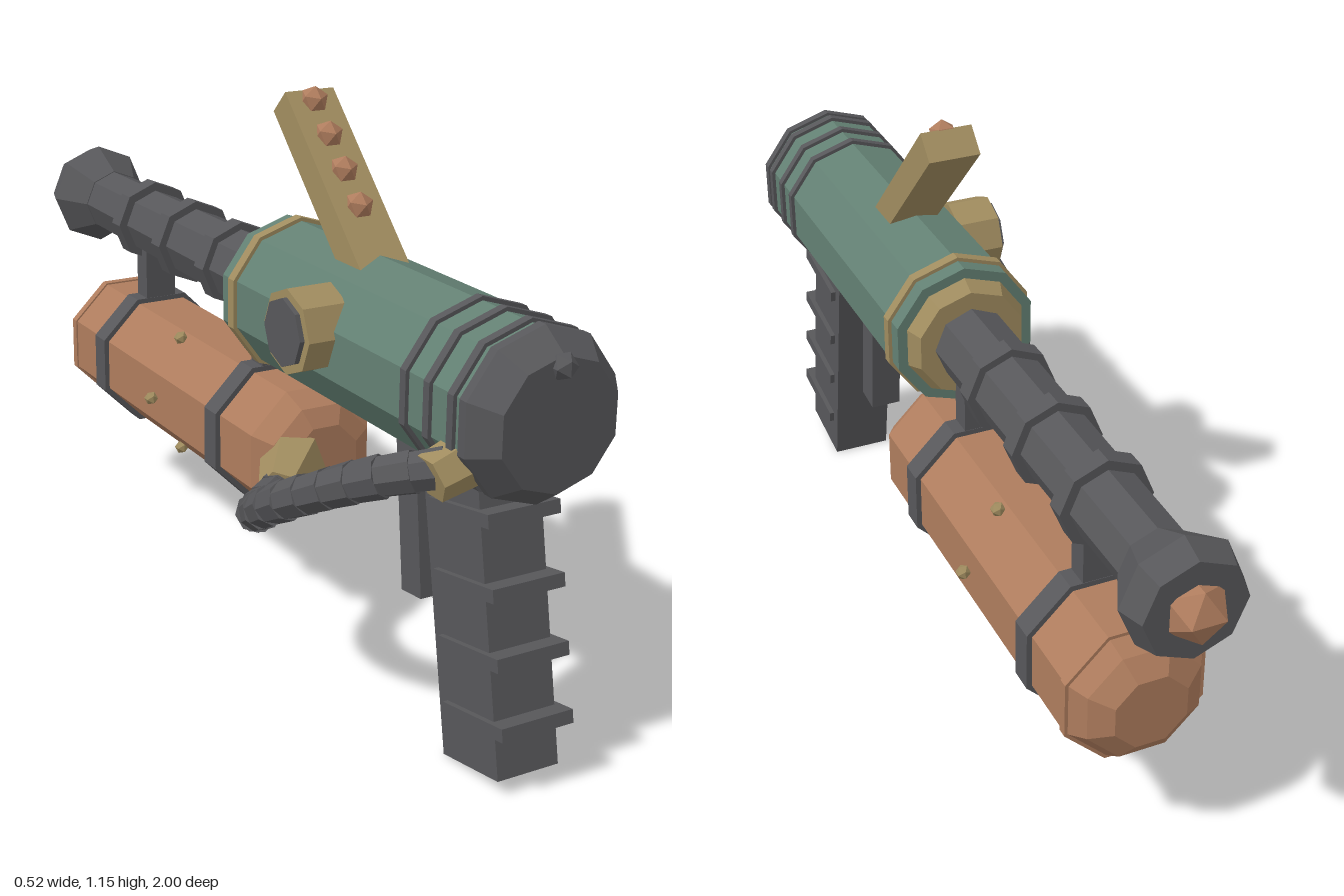
import * as THREE from 'three';

const paint = (name, color) => {
  const m = new THREE.MeshStandardMaterial({ color });
  m.name = name;
  return m;
};

export function createModel() {
  const dark = paint('gunmetal', 0x57575a);
  const green = paint('weathered green', 0x638073);
  const copper = paint('copper', 0xae7c5d);
  const brass = paint('brass', 0xa08c5f);

  const model = new THREE.Group();
  model.name = 'canisterGun';
  const CX = 0.09;     // shared x of the long axes
  const BODY_Y = 0.715;
  const TANK_Y = 0.385;

  // Faceted mesh: every triangle gets its own normal
  const add = (name, geo, mat, x, y, z, parent = model) => {
    const g = geo.index ? geo.toNonIndexed() : geo;
    g.computeVertexNormals();
    const mesh = new THREE.Mesh(g, mat);
    mesh.name = name;
    mesh.position.set(x, y, z);
    parent.add(mesh);
    return mesh;
  };

  // Solid turned around the z axis; profile is [z, radius] with z ascending
  const turned = (name, profile, sides, mat, y, start = 0) => {
    const pts = [[profile[0][0], 0], ...profile, [profile[profile.length - 1][0], 0]]
      .map(([z, r]) => new THREE.Vector2(r, z));
    return add(name, new THREE.LatheGeometry(pts, sides, start).rotateX(Math.PI / 2), mat, CX, y, 0);
  };

  const band = (name, z, width, r, sides, mat, y, start) =>
    turned(name, [[z - width / 2, r], [z + width / 2, r]], sides, mat, y, start);

  const stud = (name, r, mat, x, y, z, parent) =>
    add(name, new THREE.IcosahedronGeometry(r, 0), mat, x, y, z, parent);

  // Straight cylinder between two points
  const UP = new THREE.Vector3(0, 1, 0);
  const rod = (name, a, b, ra, rb, sides, mat, parent = model) => {
    const d = b.clone().sub(a);
    const mid = a.clone().add(b).multiplyScalar(0.5);
    const mesh = add(name, new THREE.CylinderGeometry(rb, ra, d.length(), sides), mat, mid.x, mid.y, mid.z, parent);
    mesh.quaternion.setFromUnitVectors(UP, d.normalize());
    return mesh;
  };
  const V = (x, y, z) => new THREE.Vector3(x, y, z);

  // Receiver body, end cap and bands
  turned('body', [[0.05, 0.157], [0.92, 0.157]], 10, green, BODY_Y);
  turned('rearCap', [[0.905, 0.164], [0.925, 0.164], [0.98, 0.125]], 10, dark, BODY_Y);
  stud('rearKnob', 0.027, dark, CX, 0.82, 0.977);
  for (const z of [0.735, 0.808, 0.88]) band('bodyBand', z, 0.018, 0.165, 10, dark, BODY_Y);
  band('frontBand', 0.098, 0.024, 0.165, 10, brass, BODY_Y);
  turned('frontCollar', [[0.015, 0.118], [0.05, 0.135]], 10, brass, BODY_Y);

  // Barrel, rings, muzzle and tip
  turned('barrel', [[-0.83, 0.073], [0.03, 0.081]], 8, dark, BODY_Y);
  for (const z of [-0.17, -0.385, -0.597]) band('barrelRing', z, 0.042, 0.095, 8, dark, BODY_Y);
  turned('muzzle', [[-0.955, 0.102], [-0.9, 0.12], [-0.81, 0.075]], 8, dark, BODY_Y);
  stud('muzzleTip', 0.064, copper, CX, BODY_Y, -0.946).rotation.z = Math.PI / 2;

  // Tank with domed ends, straps, struts and rivets
  const FLAT = Math.PI / 8;
  turned('tank', [[-0.82, 0.08], [-0.79, 0.125], [-0.75, 0.152], [0.155, 0.152], [0.2, 0.122], [0.22, 0.08]],
    8, copper, TANK_Y, FLAT);
  band('tankLip', -0.745, 0.02, 0.156, 8, copper, TANK_Y, FLAT);
  for (const z of [-0.008, -0.577]) {
    band('tankStrap', z, 0.052, 0.164, 8, dark, TANK_Y, FLAT);
    add('strut', new THREE.BoxGeometry(0.075, 0.18, 0.05), dark, CX, 0.595, z);
  }
  for (let i = 0; i < 6; i++) {
    const a = i * Math.PI / 3;
    stud('tankRivet', 0.016, brass, CX + 0.153 * Math.cos(a), TANK_Y + 0.153 * Math.sin(a), -0.295);
  }

  // Grip with ribs, built upright from its base and then tilted
  const grip = new THREE.Group();
  grip.name = 'grip';
  grip.position.set(CX, 0.018, 0.86);
  grip.rotation.x = -0.18;
  model.add(grip);
  add('gripBlock', new THREE.BoxGeometry(0.134, 0.62, 0.172), dark, 0, 0.31, 0, grip);
  for (const s of [0.1, 0.228, 0.355, 0.49])
    add('gripRib', new THREE.BoxGeometry(0.156, 0.026, 0.185), dark, 0, s, 0.033, grip);

  // Trigger
  add('trigger', new THREE.BoxGeometry(0.07, 0.36, 0.066), dark, CX, 0.43, 0.583).rotation.x = -0.11;

  // Raised lever with a row of studs on its upper face
  const lever = new THREE.Group();
  lever.name = 'lever';
  lever.position.set(CX, 1.123, 0.112);
  lever.rotation.x = -Math.PI / 4;
  model.add(lever);
  add('leverArm', new THREE.BoxGeometry(0.11, 0.42, 0.065), brass, 0, -0.21, 0, lever);
  for (let i = 0; i < 4; i++) stud('leverStud', 0.03, copper, 0, -0.025 - i * 0.083, 0.032, lever);

  // Side dial
  rod('dialHousing', V(-0.02, 0.75, 0.41), V(-0.115, 0.75, 0.41), 0.085, 0.085, 8, brass);
  rod('dialFace', V(-0.1, 0.75, 0.41), V(-0.125, 0.75, 0.41), 0.068, 0.068, 8, dark);

  // Segmented hose from the body to the tank
  const hose = new THREE.Group();
  hose.name = 'hose';
  model.add(hose);
  const path = new THREE.CatmullRomCurve3([
    V(-0.06, 0.63, 0.87), V(-0.15, 0.595, 0.78), V(-0.222, 0.49, 0.58),
    V(-0.185, 0.4, 0.42), V(-0.1, 0.365, 0.31), V(-0.02, 0.375, 0.25)]);
  const N = 14;
  for (let i = 0; i < N; i++)
    rod('hoseSegment', path.getPointAt(i / N), path.getPointAt(Math.min(1, (i + 1.15) / N)), 0.04, 0.037, 8, dark, hose);
  rod('upperFitting', V(-0.095, 0.615, 0.87), V(0.0, 0.645, 0.87), 0.045, 0.052, 6, brass);
  rod('lowerFitting', V(-0.055, 0.37, 0.285), V(0.03, 0.39, 0.19), 0.045, 0.07, 6, brass);

  return model;
}
